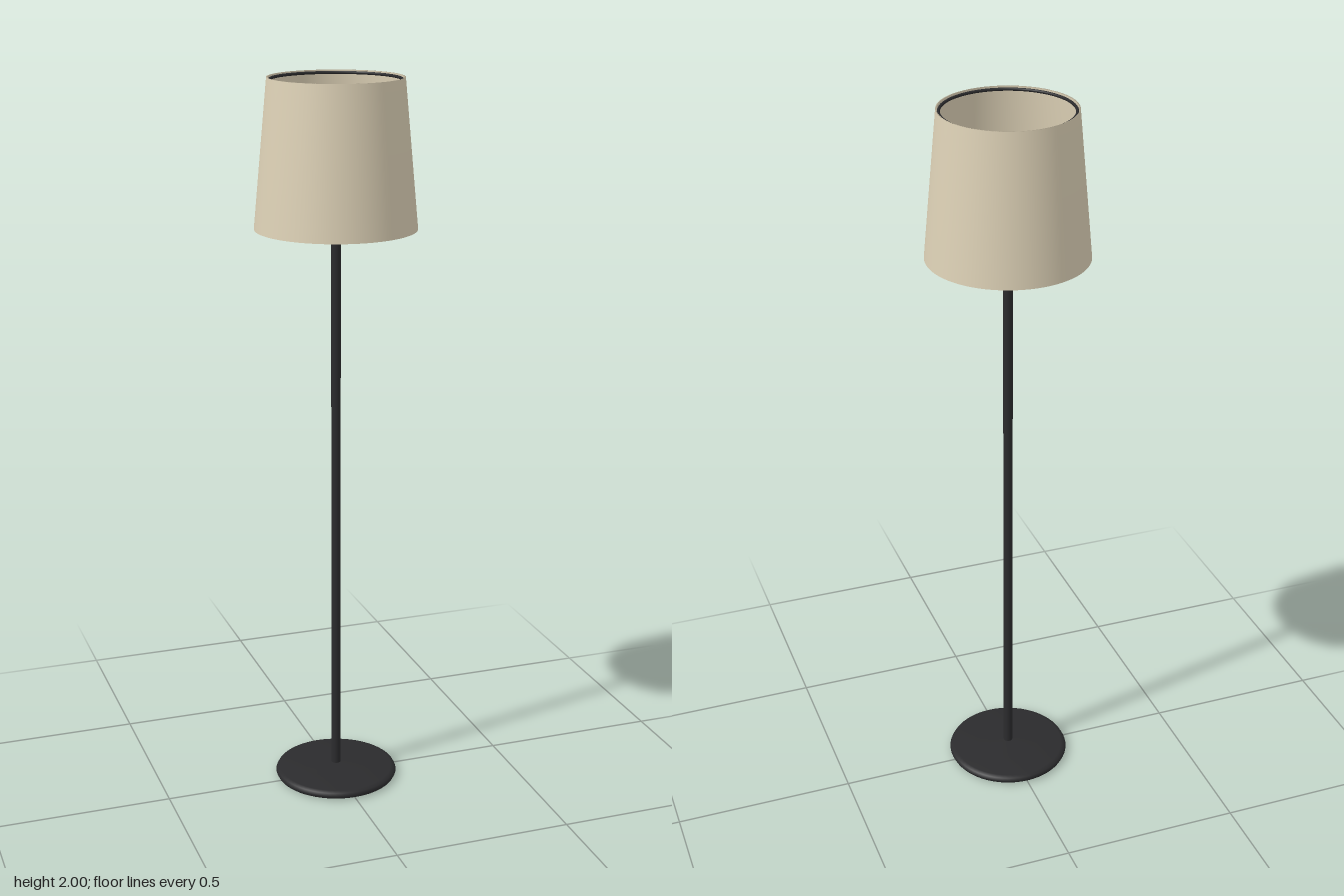
import * as THREE from 'three';

export function createModel() {
  const black = new THREE.MeshStandardMaterial({ color: 0x2b2b2d });
  black.name = 'black metal';
  const linen = new THREE.MeshStandardMaterial({ color: 0xddd1b6 });
  linen.name = 'cream linen';

  const model = new THREE.Group();
  model.name = 'floorLamp';

  const add = (name, geometry, material) => {
    const mesh = new THREE.Mesh(geometry, material);
    mesh.name = name;
    model.add(mesh);
    return mesh;
  };
  const lathe = (points, segments = 64) =>
    new THREE.LatheGeometry(points.map(([r, y]) => new THREE.Vector2(r, y)), segments);

  // Low domed foot with a rounded rim
  add('base', lathe([
    [0, 0], [0.162, 0], [0.17, 0.004], [0.174, 0.012], [0.17, 0.02],
    [0.16, 0.024], [0.09, 0.03], [0.02, 0.034], [0, 0.035],
  ]), black);

  // Slim pole
  const pole = add('pole', new THREE.CylinderGeometry(0.013, 0.013, 1.64, 24), black);
  pole.position.y = 0.84;

  // Socket on top of the pole, with a rounded cap and a small knob
  add('socket', lathe([
    [0.012, 1.635], [0.02, 1.637], [0.02, 1.705], [0.018, 1.715],
    [0.012, 1.722], [0.005, 1.725], [0.005, 1.73], [0, 1.732],
  ], 32), black);

  // Thin tapered shade, open at both ends, softly shaded over its hems
  add('shade', lathe([
    [0.196, 1.8], [0.215, 1.603], [0.218, 1.603],
    [0.181, 2], [0.178, 2], [0.196, 1.8],
  ], 96), linen);

  // Wire rings just inside the two openings
  for (const [name, radius, y] of [['topRing', 0.173, 1.993], ['bottomRing', 0.21, 1.61]]) {
    const ring = add(name, new THREE.TorusGeometry(radius, 0.004, 10, 80), black);
    ring.rotation.x = Math.PI / 2;
    ring.position.y = y;
  }

  // Three spokes sloping from the socket down to the bottom ring
  for (let i = 0; i < 3; i++) {
    const a = (i * Math.PI * 2) / 3;
    const at = (r, y) => new THREE.Vector3(r * Math.cos(a), y, r * Math.sin(a));
    const path = new THREE.LineCurve3(at(0.012, 1.705), at(0.211, 1.61));
    add('spoke' + (i + 1), new THREE.TubeGeometry(path, 1, 0.003, 8), black);
  }
  return model;
}
